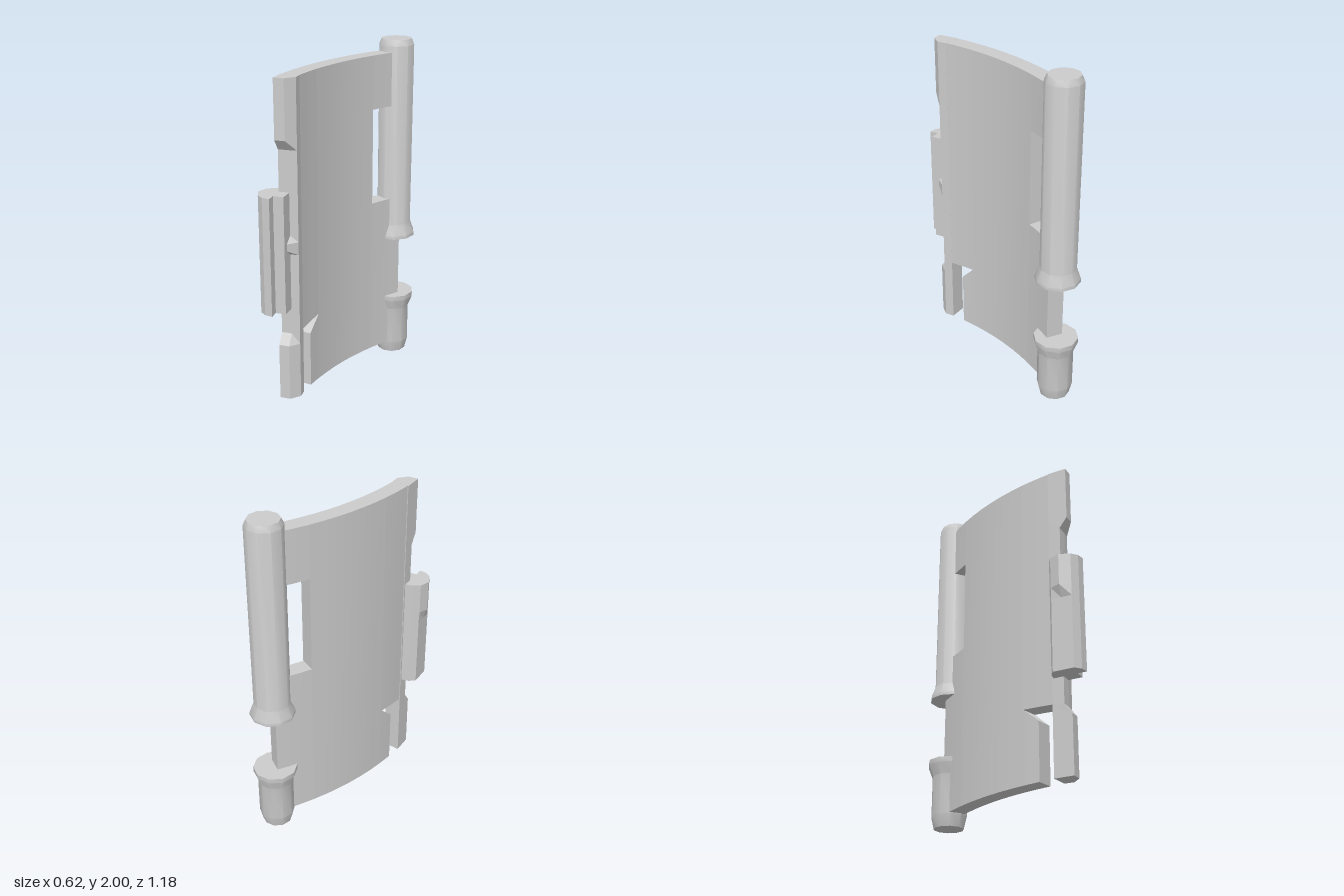
import * as THREE from 'three';
import { toCreasedNormals } from 'three/addons/utils/BufferGeometryUtils.js';

const material = new THREE.MeshStandardMaterial({ color: 0xcccccc });

// Centre and radii of the curved panel, seen from above
const CX = 1.571, CZ = 0.571, R_IN = 1.68, R_OUT = 1.779;

function add(group, geometry, name) {
  const mesh = new THREE.Mesh(geometry, material);
  mesh.name = name;
  group.add(mesh);
  return mesh;
}

// Curved slab between two z positions (on the inner face); bottom and top are [start, end] heights
function slab(z0, z1, bottom, top, segments) {
  const angle = (z) => Math.asin((CZ - z) / R_IN);
  const a0 = angle(z0), a1 = angle(z1);
  const geo = new THREE.BoxGeometry(1, 1, 1, segments, 1, 1);
  const p = geo.attributes.position;
  for (let i = 0; i < p.count; i++) {
    const t = p.getX(i) + 0.5;
    const a = THREE.MathUtils.lerp(a0, a1, t);
    const r = p.getZ(i) > 0 ? R_IN : R_OUT;
    const ends = p.getY(i) > 0 ? top : bottom;
    p.setXYZ(i, CX - r * Math.cos(a), THREE.MathUtils.lerp(ends[0], ends[1], t), CZ - r * Math.sin(a));
  }
  return toCreasedNormals(geo, 0.5);
}

// Upright prism from an [x, z] outline; reshape(x, z, layer) adjusts each height layer
function layeredPrism(outline, heights, reshape) {
  const shape = new THREE.Shape(outline.map(([x, z]) => new THREE.Vector2(x, -z)));
  const n = heights.length - 1;
  const geo = new THREE.ExtrudeGeometry(shape, { depth: n, steps: n, bevelEnabled: false });
  geo.rotateX(-Math.PI / 2);
  const p = geo.attributes.position;
  for (let i = 0; i < p.count; i++) {
    const layer = Math.round(p.getY(i));
    const [x, z] = reshape(p.getX(i), p.getZ(i), layer);
    p.setXYZ(i, x, heights[layer], z);
  }
  geo.computeVertexNormals();
  return geo;
}

// Ten-sided hinge pin from an [radius, y] profile
function pin(profile) {
  const points = profile.map(([r, y]) => new THREE.Vector2(r, y));
  const geo = new THREE.LatheGeometry(points, 10, Math.PI / 2);
  geo.translate(0.175, 0, -0.465);
  return toCreasedNormals(geo, 0.66);
}

export function createModel() {
  const model = new THREE.Group();
  model.name = 'hingedCover';

  // Curved panel, built around the slot at the front and the window by the hinge
  const panel = new THREE.Group();
  panel.name = 'curvedPanel';
  const LOW = 0.075, HIGH = 1.93;
  add(panel, slab(0.4, 0.22, [0.48, 0.495], [HIGH, HIGH], 3), 'panelAboveSlot');
  add(panel, slab(0.315, 0.22, [LOW, LOW], [0.41, 0.495], 2), 'panelBesideSlot');
  add(panel, slab(0.22, -0.245, [LOW, LOW], [HIGH, HIGH], 6), 'panelMiddle');
  add(panel, slab(-0.245, -0.43, [LOW, LOW], [1.04, 1.04], 3), 'panelBelowWindow');
  add(panel, slab(-0.245, -0.43, [1.615, 1.615], [HIGH, HIGH], 3), 'panelAboveWindow');
  model.add(panel);

  // Front edge strip: deep at both ends and at a small nub, shallow between
  const edgeHeights = [LOW, 0.41, 0.47, 0.95, 0.985, 1.025, 1.06, 1.54, 1.6, HIGH];
  const edgeTips = [0.505, 0.505, 0.46, 0.46, 0.507, 0.507, 0.46, 0.46, 0.505, 0.505];
  const edgeOutline = [[-0.203, 0.39], [-0.205, 0.505], [-0.145, 0.505], [-0.098, 0.455], [-0.1, 0.4]];
  add(model, layeredPrism(edgeOutline, edgeHeights,
    (x, z, layer) => [x, z > 0.5 ? edgeTips[layer] : z]), 'frontEdge');

  // Rounded grip on the outside of the edge, slimmer in its lower part
  const gripOutline = [
    [-0.2, 0.4], [-0.25, 0.41], [-0.288, 0.435], [-0.31, 0.495], [-0.285, 0.557],
    [-0.25, 0.587], [-0.205, 0.595], [-0.205, 0.542], [-0.145, 0.542], [-0.145, 0.45], [-0.2, 0.45],
  ];
  add(model, layeredPrism(gripOutline, [0.625, 1.05, 1.12, 1.305],
    (x, z, layer) => [layer < 2 ? Math.max(x, -0.285) : x, z]), 'grip');

  // Hinge pins with flared collars facing each other
  add(model, pin([
    [0, 0.785], [0.13, 0.785], [0.13, 0.805], [0.105, 0.87], [0.105, 1.965], [0.09, 2], [0, 2],
  ]), 'upperHingePin');
  add(model, pin([
    [0, 0], [0.088, 0], [0.105, 0.07], [0.105, 0.305], [0.13, 0.37], [0.13, 0.4], [0, 0.4],
  ]), 'lowerHingePin');

  return model;
}
